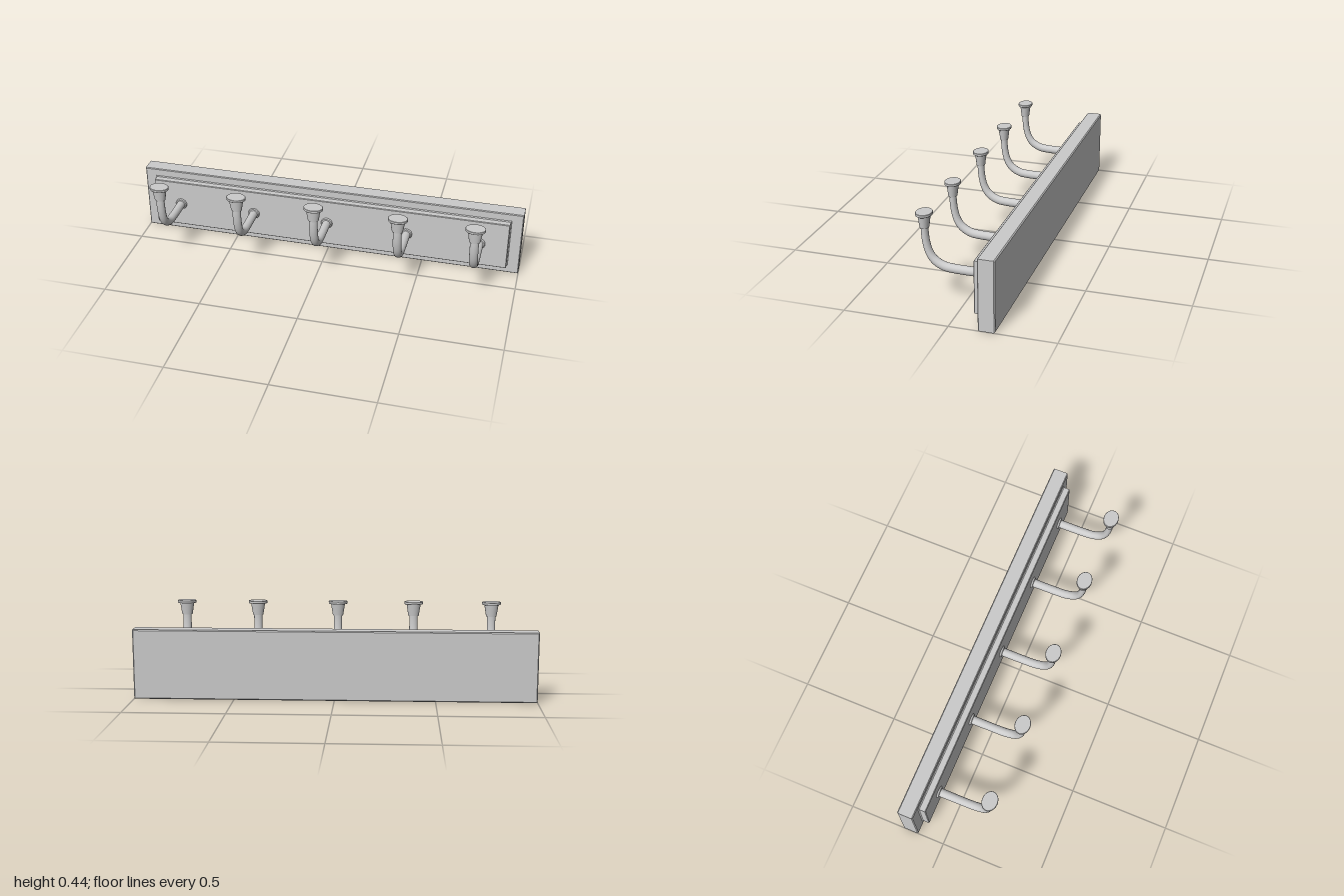
import * as THREE from 'three';

const material = new THREE.MeshStandardMaterial({ color: 0xcccccc });
const BOARD_Y = 0.175;
const HOOK_Y = 0.177;
const TIP_Z = 0.179;
const SQUASH = 0.78; // hooks are oval: narrower in z than in x

// Closed slab from rectangles [half width, half height, z] running back to front
function rectLoft(sections) {
  const pos = [];
  const corners = sections.map(([w, h, z]) => [[-w, -h, z], [w, -h, z], [w, h, z], [-w, h, z]]);
  const quad = (a, b, c, d) => pos.push(...a, ...b, ...c, ...a, ...c, ...d);
  for (let i = 0; i < corners.length - 1; i++) {
    const p = corners[i], q = corners[i + 1];
    for (let k = 0; k < 4; k++) {
      const n = (k + 1) % 4;
      quad(p[k], p[n], q[n], q[k]);
    }
  }
  const back = corners[0], front = corners[corners.length - 1];
  quad(back[3], back[2], back[1], back[0]);
  quad(front[0], front[1], front[2], front[3]);
  const geo = new THREE.BufferGeometry();
  geo.setAttribute('position', new THREE.Float32BufferAttribute(pos, 3));
  geo.computeVertexNormals();
  return geo;
}

function addMesh(parent, name, geometry) {
  const mesh = new THREE.Mesh(geometry, material);
  mesh.name = name;
  parent.add(mesh);
  return mesh;
}

// Lathe with hard edges: each profile segment is its own band
function addTurned(parent, name, profile) {
  const group = new THREE.Group();
  group.name = name;
  for (let i = 0; i < profile.length - 1; i++) {
    const pts = [profile[i], profile[i + 1]].map(([r, y]) => new THREE.Vector2(r, y));
    addMesh(group, name + 'Band', new THREE.LatheGeometry(pts, 32));
  }
  parent.add(group);
  return group;
}

function createHook() {
  const hook = new THREE.Group();
  hook.name = 'hook';

  // Bent arm, swept round and then squashed in z
  const path = new THREE.CatmullRomCurve3([
    [-0.11, HOOK_Y], [-0.05, HOOK_Y], [0.0, 0.1775], [0.045, 0.179], [0.084, 0.1835], [0.118, 0.198],
    [0.143, 0.219], [0.161, 0.25], [0.173, 0.295], [0.178, 0.34], [TIP_Z, 0.375],
  ].map(([z, y]) => new THREE.Vector3(0, y, z / SQUASH)));
  const arm = new THREE.TubeGeometry(path, 48, 0.0215, 20);
  arm.scale(1, 1, SQUASH);
  addMesh(hook, 'arm', arm);

  // Collar where the arm meets the panel
  const collar = addTurned(hook, 'collar', [
    [0.03, -0.002], [0.03, 0.003], [0.027, 0.008], [0.021, 0.01],
  ]);
  collar.rotation.x = Math.PI / 2;
  collar.position.set(0, HOOK_Y, -0.1);

  // Tapered cup and flat cap on the tip
  const cup = addTurned(hook, 'cup', [[0, 0.368], [0.027, 0.368], [0.037, 0.43]]);
  const cap = addTurned(hook, 'cap', [
    [0, 0.429], [0.047, 0.429], [0.0485, 0.4305], [0.0485, 0.441], [0.047, 0.4425], [0, 0.4425],
  ]);
  for (const part of [cup, cap]) {
    part.scale.z = SQUASH;
    part.position.z = TIP_Z;
  }
  return hook;
}

export function createModel() {
  const model = new THREE.Group();
  model.name = 'coatRack';

  // Back board with small chamfers
  addMesh(model, 'backBoard', rectLoft([
    [0.995, 0.17, -0.217], [1, 0.175, -0.212], [1, 0.175, -0.141], [0.996, 0.171, -0.137],
  ])).position.y = BOARD_Y;

  // Raised panel with a flared foot and chamfered front edge
  addMesh(model, 'raisedPanel', rectLoft([
    [0.943, 0.134, -0.138], [0.94, 0.131, -0.134], [0.938, 0.129, -0.132],
    [0.938, 0.129, -0.103], [0.935, 0.126, -0.1],
  ])).position.y = 0.177;

  // Row of hooks, slightly uneven in spacing
  for (const x of [-0.797, -0.394, 0, 0.419, 0.793]) {
    const hook = createHook();
    hook.position.x = x;
    model.add(hook);
  }
  return model;
}
